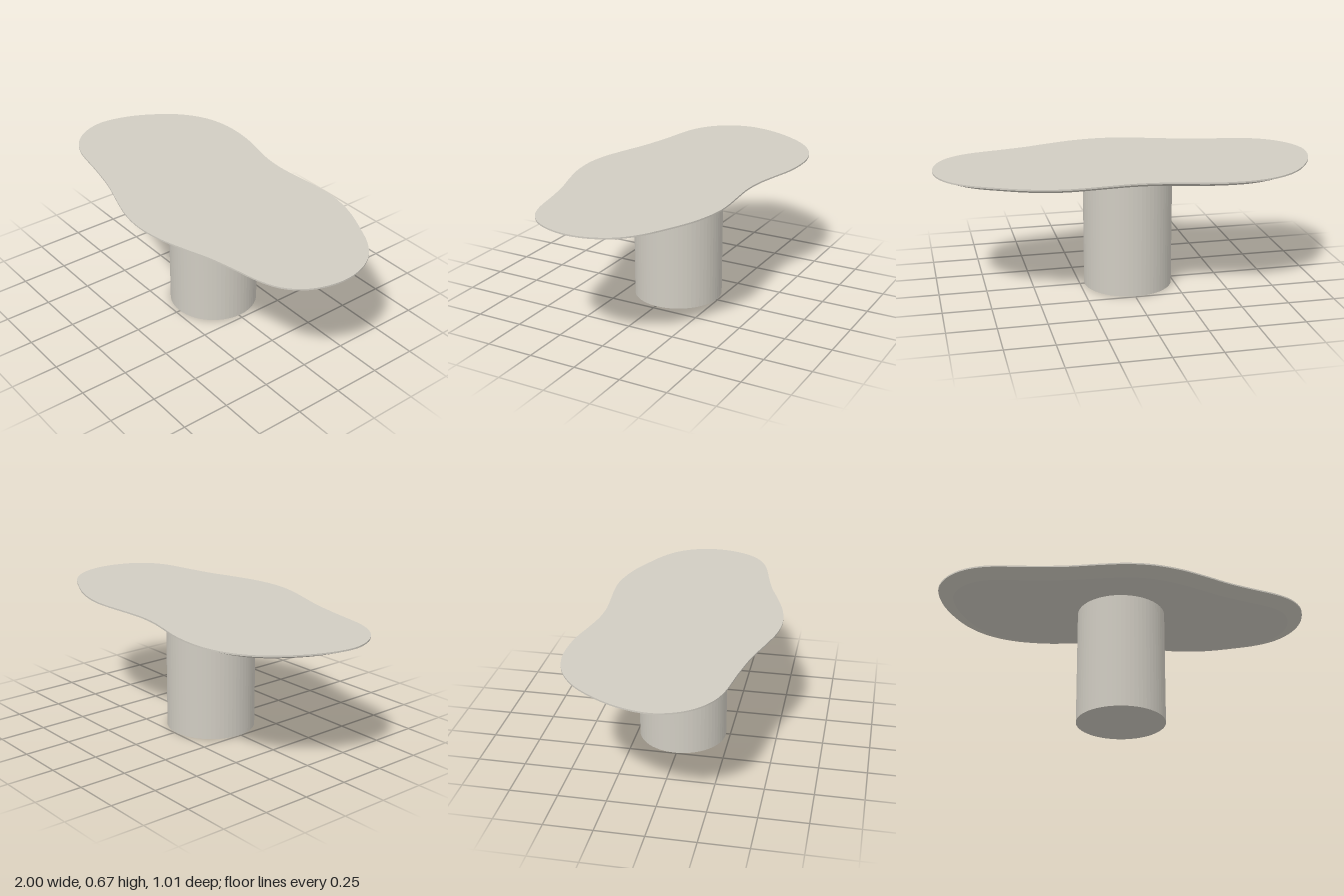
import * as THREE from 'three';

// Outline of the top as [x, z] control points, running from the left end along the back
const OUTLINE = [
  [-1, 0.02], [-0.97, -0.12], [-0.9, -0.26], [-0.8, -0.385], [-0.68, -0.465], [-0.56, -0.5],
  [-0.45, -0.506], [-0.33, -0.495], [-0.2, -0.465], [-0.08, -0.44], [0.04, -0.432], [0.16, -0.44],
  [0.3, -0.452], [0.4, -0.452], [0.5, -0.435], [0.6, -0.405], [0.72, -0.35], [0.84, -0.285],
  [0.925, -0.21], [0.98, -0.11], [1, 0], [0.985, 0.11], [0.94, 0.21], [0.87, 0.28],
  [0.78, 0.323], [0.6, 0.365], [0.48, 0.395], [0.35, 0.44], [0.2, 0.485], [0.05, 0.503],
  [-0.08, 0.49], [-0.2, 0.457], [-0.38, 0.4], [-0.55, 0.363], [-0.78, 0.318], [-0.88, 0.265],
  [-0.95, 0.19], [-0.99, 0.1],
];
const STEPS = 160;
const TOP = 0.67, RIM = 0.662, UNDER = 0.63, INSET = 0.08;

// Ring of points at a height, moved inwards from the outline
function makeRing(curve, y, inset) {
  return Array.from({ length: STEPS }, (_, i) => {
    const p = curve.getPointAt(i / STEPS);
    const t = curve.getTangentAt(i / STEPS);
    return new THREE.Vector3(p.x - t.z * inset, y, p.z + t.x * inset);
  });
}

// Smooth closed strip between an upper and a lower ring
function makeBand(upper, lower) {
  const index = [];
  for (let i = 0; i < STEPS; i++) {
    const a = i, b = (i + 1) % STEPS, c = a + STEPS, d = b + STEPS;
    index.push(a, b, c, b, d, c);
  }
  const geometry = new THREE.BufferGeometry().setFromPoints([...upper, ...lower]);
  geometry.setIndex(index);
  geometry.computeVertexNormals();
  return geometry;
}

// Flat face filling a ring, looking up or down
function makeFace(ring, up) {
  const sign = up ? -1 : 1;
  const shape = new THREE.Shape(ring.map((p) => new THREE.Vector2(p.x, sign * p.z)));
  const geometry = new THREE.ShapeGeometry(shape);
  geometry.rotateX(sign * Math.PI / 2);
  geometry.translate(0, ring[0].y, 0);
  return geometry;
}

export function createModel() {
  const stone = new THREE.MeshStandardMaterial({ color: 0xd0ccc2 });
  stone.name = 'warm grey stone';
  const facetedStone = stone.clone();
  facetedStone.flatShading = true;

  const model = new THREE.Group();
  model.name = 'table';
  const add = (parent, name, geometry, material = stone) => {
    const mesh = new THREE.Mesh(geometry, material);
    mesh.name = name;
    parent.add(mesh);
    return mesh;
  };

  // Free-form top with a thin rim and a wide bevel beneath
  const curve = new THREE.CatmullRomCurve3(
    OUTLINE.map(([x, z]) => new THREE.Vector3(x, 0, z)), true, 'centripetal');
  curve.arcLengthDivisions = 800;
  const upper = makeRing(curve, TOP, 0);
  const rim = makeRing(curve, RIM, 0);
  const under = makeRing(curve, UNDER, INSET);
  const tableTop = new THREE.Group();
  tableTop.name = 'tableTop';
  model.add(tableTop);
  add(tableTop, 'topSurface', makeFace(upper, true));
  add(tableTop, 'rim', makeBand(upper, rim));
  add(tableTop, 'bevel', makeBand(rim, under));
  add(tableTop, 'underside', makeFace(under, false));

  // Round pedestal, faceted and set slightly off centre
  const pedestal = add(model, 'pedestal',
    new THREE.CylinderGeometry(0.235, 0.235, UNDER, 64), facetedStone);
  pedestal.position.set(-0.01, UNDER / 2, -0.008);

  return model;
}
